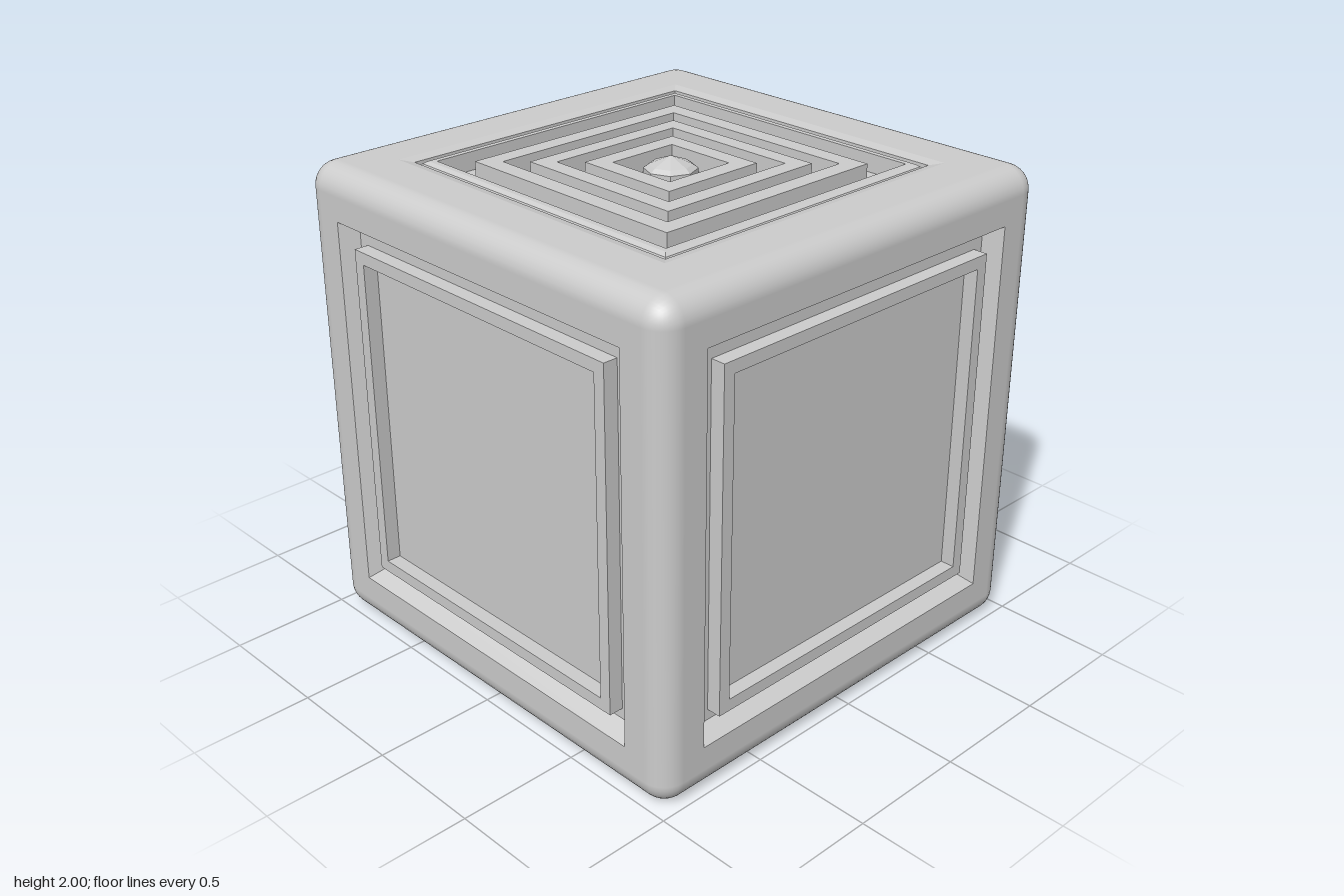
import * as THREE from 'three';
import { RoundedBoxGeometry } from 'three/addons/geometries/RoundedBoxGeometry.js';

const HALF = 0.988;   // half the cube's edge
const RADIUS = 0.1;   // rounding of the edges
const FLAT = HALF - RADIUS;

const smooth = new THREE.MeshStandardMaterial({ color: 0xcccccc });
const faceted = new THREE.MeshStandardMaterial({ color: 0xcccccc, flatShading: true });

// Square mouldings: a [half width, height] profile, outside to inside, swept round four sides
function squareSweep(name, profile) {
  const points = profile.map(([half, y]) => new THREE.Vector2(half * Math.SQRT2, y));
  const mesh = new THREE.Mesh(new THREE.LatheGeometry(points, 4, Math.PI / 4), faceted);
  mesh.name = name;
  return mesh;
}

// Rounded shell: a rounded box without its flat centres, except the bottom
function shellGeometry() {
  const box = new RoundedBoxGeometry(2 * HALF, 2 * HALF, 2 * HALF, 4, RADIUS);
  const p = box.attributes.position, n = box.attributes.normal;
  const positions = [], normals = [];
  for (let i = 0; i < p.count; i += 3) {
    const onFace = (axis, sign) => [0, 1, 2].every(
      k => Math.abs(p.getComponent(i + k, axis) - sign * HALF) < 1e-4);
    const open = [[0, 1], [0, -1], [1, 1], [2, 1], [2, -1]].some(([a, s]) => onFace(a, s));
    if (open) continue;
    for (let k = i; k < i + 3; k++) {
      positions.push(p.getX(k), p.getY(k), p.getZ(k));
      normals.push(n.getX(k), n.getY(k), n.getZ(k));
    }
  }
  const geometry = new THREE.BufferGeometry();
  geometry.setAttribute('position', new THREE.Float32BufferAttribute(positions, 3));
  geometry.setAttribute('normal', new THREE.Float32BufferAttribute(normals, 3));
  return geometry;
}

// Side: sloped opening, raised trim and sunken panel
function sideFace() {
  const face = new THREE.Group();
  const floor = HALF - 0.07, trimTop = HALF - 0.01;
  face.add(
    squareSweep('sideFrame', [[FLAT, HALF], [0.787, HALF], [0.745, floor], [0.70, floor]]),
    squareSweep('sideTrim', [[0.70, floor], [0.70, trimTop], [0.65, trimTop], [0.65, floor]]),
    squareSweep('sidePanel', [[0.65, floor], [0, floor]]));
  return face;
}

// Top: opening with a rounded lip, concentric ridges and a central knob
function topFace() {
  const face = new THREE.Group();
  face.name = 'topFace';
  const floor = HALF - 0.08, top = HALF - 0.005;
  face.add(
    squareSweep('topFrame', [[FLAT, HALF], [0.73, HALF], [0.687, HALF - 0.01], [0.687, floor], [0.675, floor]]),
    squareSweep('topLip', [[0.675, floor], [0.675, top - 0.03], [0.667, top - 0.01],
      [0.65, top], [0.627, top], [0.627, floor]]),
    squareSweep('topFloor', [[0.627, floor], [0, floor]]));
  for (const [outer, inner] of [[0.525, 0.45], [0.377, 0.305], [0.23, 0.155]]) {
    face.add(squareSweep('ridge', [[outer, floor], [outer, top], [inner, top], [inner, floor]]));
  }
  const knobProfile = [[0.083, floor], [0.105, floor + 0.03], [0.105, HALF - 0.025],
    [0.084, HALF - 0.01], [0, 2 - HALF]].map(([r, y]) => new THREE.Vector2(r, y));
  const knob = new THREE.Mesh(new THREE.LatheGeometry(knobProfile, 8), faceted);
  knob.name = 'knob';
  face.add(knob);
  return face;
}

export function createModel() {
  const model = new THREE.Group();
  model.name = 'panelledCube';
  const cube = new THREE.Group();
  cube.name = 'cube';
  cube.position.y = HALF;

  const shell = new THREE.Mesh(shellGeometry(), smooth);
  shell.name = 'roundedShell';
  cube.add(shell, topFace());

  // Four identical sides
  ['front', 'left', 'back', 'right'].forEach((side, i) => {
    const face = sideFace();
    face.name = side + 'Face';
    face.rotation.set(Math.PI / 2, i * Math.PI / 2, 0, 'YXZ');
    cube.add(face);
  });

  model.add(cube);
  return model;
}
